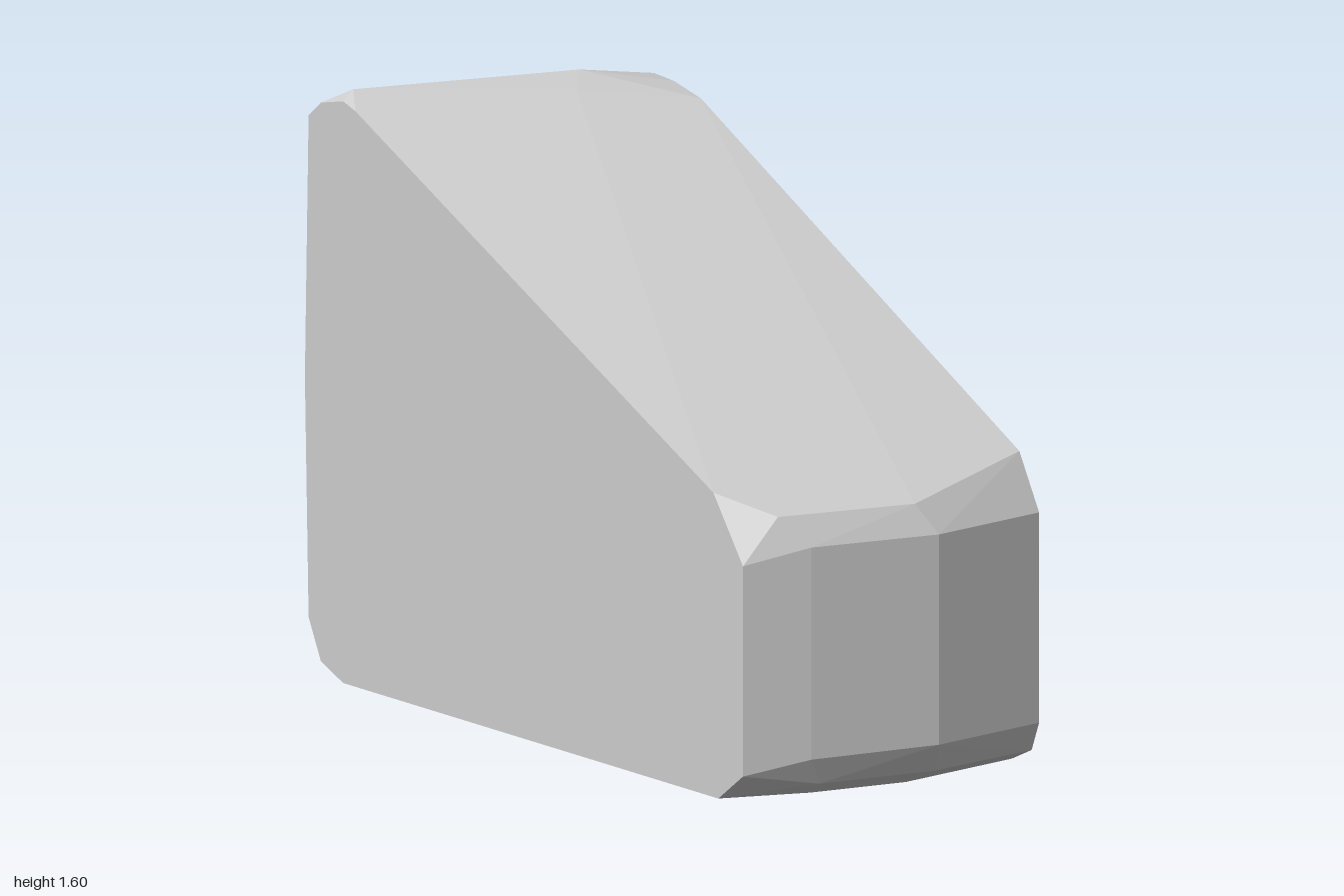
import * as THREE from 'three';
import { ConvexGeometry } from 'three/addons/geometries/ConvexGeometry.js';

// A chipped convex stone block: two flat sides joined by bevelled edges.
export function createModel() {
  const group = new THREE.Group();
  group.name = 'stoneBlock';
  const side = 0.423;
  const points = [];
  const add = (x, zy) => zy.forEach(([z, y]) => points.push(new THREE.Vector3(x, y, z)));

  // Left flat side, outline as [z, y]
  add(side, [
    [1, 0.12], [0.97, 0.04], [0.89, 0], [-0.48, 0], [-0.56, 0.04], [-1, 0.68],
    [-1, 0.8], [-0.56, 1.56], [-0.48, 1.555], [-0.37, 1.53], [0.92, 0.84], [1, 0.69],
  ]);

  // Right flat side, outline as [z, y]
  add(-side, [
    [0.8, 0.08], [0.7, 0], [-0.82, 0], [-0.91, 0.04], [-0.96, 0.15], [-0.975, 0.8],
    [-0.96, 1.51], [-0.91, 1.555], [-0.82, 1.577], [-0.77, 1.56], [0.68, 0.825], [0.8, 0.65],
  ]);

  // Bevel corners between the sides, as x, y, z
  const corners = [
    // front
    [0.08, 0.12, 1], [0.08, 0.69, 1], [-0.26, 0.115, 0.885], [-0.26, 0.69, 0.885],
    [0.04, 0.77, 0.95], [-0.32, 0.77, 0.82],
    [0.1, 0.04, 0.965], [-0.22, 0.04, 0.87], [0.06, 0, 0.89], [-0.2, 0, 0.81],
    // top ridge
    [0.2, 1.6, -0.6], [-0.38, 1.6, -0.83], [0.14, 1.57, -0.54],
    // back top
    [-0.35, 1.52, -0.94], [-0.1, 1.52, -0.86], [0.36, 1.54, -0.64],
    // back bottom
    [-0.3, 0.04, -0.88], [0.25, 0.03, -0.65],
  ];
  corners.forEach((c) => points.push(new THREE.Vector3(...c)));

  const stone = new THREE.Mesh(
    new ConvexGeometry(points),
    new THREE.MeshStandardMaterial({ color: 0xcccccc, flatShading: true }),
  );
  stone.name = 'stone';
  group.add(stone);
  return group;
}
